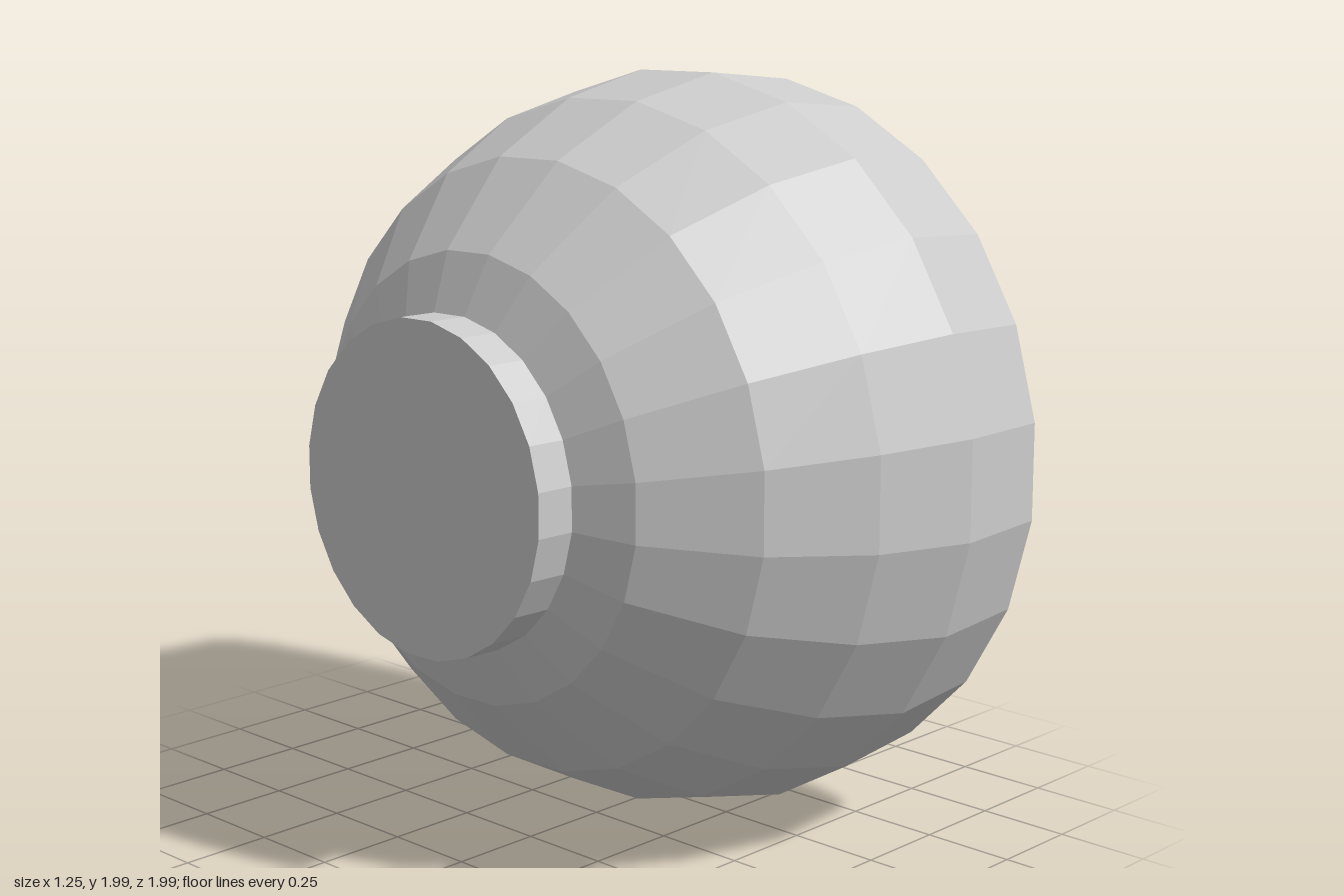
import * as THREE from 'three';

const SIDES = 24;
const PHASE = THREE.MathUtils.degToRad(6.3);

// Faceted surface of revolution around the x axis, from [radius, x] pairs
function turned(name, profile) {
  const points = profile.map(([r, x]) => new THREE.Vector2(r, x));
  const geometry = new THREE.LatheGeometry(points, SIDES, PHASE).rotateZ(-Math.PI / 2);
  const material = new THREE.MeshStandardMaterial({ color: 0xcccccc, flatShading: true });
  const mesh = new THREE.Mesh(geometry, material);
  mesh.name = name;
  return mesh;
}

export function createModel() {
  const model = new THREE.Group();
  model.name = 'bowl';

  // Bowl lying on its side, opening towards +x, with a very slight lean
  const body = new THREE.Group();
  body.name = 'bowlBody';
  body.position.set(0, 1.005, -0.0025);
  body.rotation.set(0, -0.008, -0.0145);
  model.add(body);

  // Short round foot with a closed base
  body.add(turned('foot', [[0, -0.62], [0.43, -0.62], [0.43, -0.51]]));

  // Outer wall
  body.add(turned('outerWall', [
    [0.43, -0.51], [0.58, -0.445], [0.8, -0.235], [0.937, 0.03], [1, 0.31], [0.972, 0.608],
  ]));

  // Flat rim
  body.add(turned('rim', [[0.972, 0.608], [0.925, 0.608]]));

  // Inner wall and flat floor
  body.add(turned('innerWall', [
    [0.925, 0.608], [0.95, 0.31], [0.885, 0.045], [0.752, -0.2], [0.537, -0.41], [0.375, -0.47], [0, -0.47],
  ]));

  return model;
}
